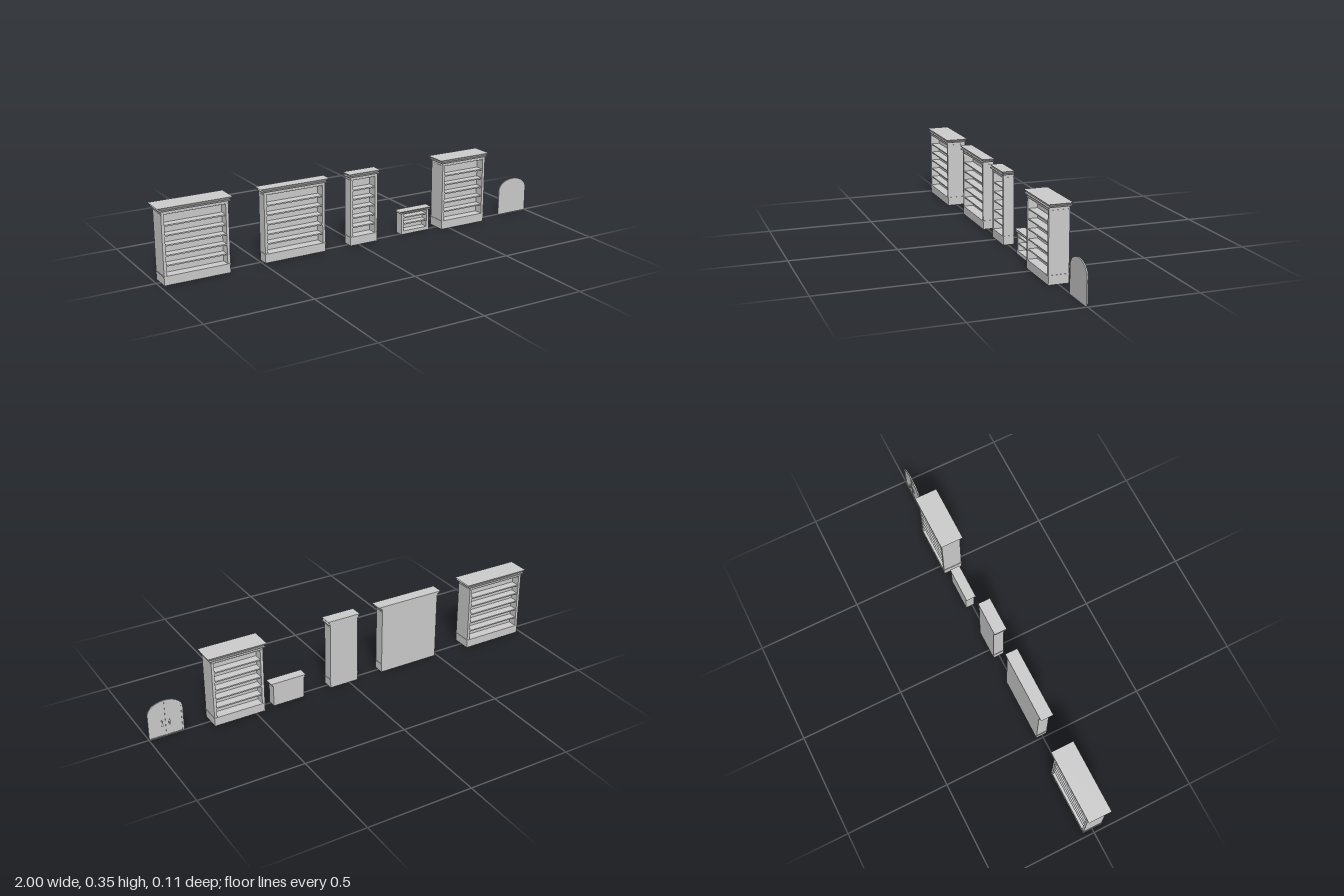
import * as THREE from 'three';

const material = new THREE.MeshStandardMaterial({ color: 0xcccccc });

function add(group, name, geometry) {
  const mesh = new THREE.Mesh(geometry, material);
  mesh.name = name;
  group.add(mesh);
  return mesh;
}

// Box given by its limits on each axis
function box(group, name, x0, x1, y0, y1, z0, z1) {
  const g = new THREE.BoxGeometry(x1 - x0, y1 - y0, z1 - z0);
  g.translate((x0 + x1) / 2, (y0 + y1) / 2, (z0 + z1) / 2);
  return add(group, name, g);
}

// Crown: a slab whose top edge flares out beyond its foot
function crown(group, x0, x1, y0, y1, z0, z1, outX, outFront, outBack) {
  const mesh = box(group, 'crown', x0, x1, y0, y1, z0, z1);
  const p = mesh.geometry.attributes.position;
  const midX = (x0 + x1) / 2, midZ = (z0 + z1) / 2, midY = (y0 + y1) / 2;
  for (let i = 0; i < p.count; i++) {
    if (p.getY(i) < midY) continue;
    p.setX(i, p.getX(i) + (p.getX(i) > midX ? outX : -outX));
    p.setZ(i, p.getZ(i) + (p.getZ(i) > midZ ? outFront : -outBack));
  }
  mesh.geometry.computeVertexNormals();
}

// Bookcase open at the front, or on both faces when doubleSided
function bookcase({ name, x0, x1, z0, z1, height, plinth, openTop, friezeTop, shelves, outX, outZ, doubleSided, trim }) {
  const g = new THREE.Group();
  g.name = name;
  const stile = 0.013, board = 0.006, recess = 0.004;
  const back = doubleSided ? 1 : 0;

  // Carcass
  box(g, 'plinth', x0, x1, 0, plinth, z0, z1);
  box(g, 'leftSide', x1 - stile, x1, plinth, openTop, z0, z1);
  box(g, 'rightSide', x0, x0 + stile, plinth, openTop, z0, z1);
  box(g, 'frieze', x0, x1, openTop, friezeTop, z0, z1);
  const panelZ = doubleSided ? (z0 + z1) / 2 - 0.002 : z0;
  box(g, 'backPanel', x0 + stile, x1 - stile, plinth, openTop, panelZ, panelZ + 0.004);

  // Shelves
  for (const y of shelves) {
    box(g, 'shelf', x0 + stile, x1 - stile, y - board / 2, y + board / 2, z0 + recess, z1 - recess);
  }

  // Mouldings
  const moulding = (label, y0, y1, o) =>
    box(g, label, x0 - o, x1 + o, y0, y1, z0 - o * back, z1 + o);
  if (trim) {
    moulding('baseMoulding', plinth - 0.003, plinth + 0.001, 0.002);
    moulding('friezeMoulding', openTop - 0.001, openTop + 0.001, 0.0015);
  }
  moulding('crownMoulding', friezeTop - 0.003, friezeTop + 0.001, Math.min(outX, outZ));
  crown(g, x0, x1, friezeTop + 0.001, height, z0, z1, outX, outZ, outZ * back);
  return g;
}

// Arched outline with an elliptical head
function arch(Kind, halfWidth, bottom, spring, rise) {
  const s = new Kind();
  s.moveTo(-halfWidth, bottom);
  s.lineTo(halfWidth, bottom);
  s.lineTo(halfWidth, spring);
  s.absellipse(0, spring, halfWidth, rise, 0, Math.PI, false, 0);
  s.lineTo(-halfWidth, bottom);
  return s;
}

function archedDoor() {
  const g = new THREE.Group();
  g.name = 'archedDoor';
  const extrude = (shape, depth) =>
    new THREE.ExtrudeGeometry(shape, { depth, bevelEnabled: false, curveSegments: 20 });

  // Solid leaf with a raised surround on its rear face
  add(g, 'doorPanel', extrude(arch(THREE.Shape, 0.083, 0, 0.122, 0.057), 0.004)).position.z = 0.001;
  const rim = arch(THREE.Shape, 0.083, 0, 0.122, 0.057);
  rim.holes.push(arch(THREE.Path, 0.075, 0.003, 0.122, 0.049));
  add(g, 'doorSurround', extrude(rim, 0.003)).position.z = -0.001;
  box(g, 'centreStile', -0.002, 0.002, 0.003, 0.171, -0.001, 0.002);

  // Pull handles either side of the meeting stile
  for (const side of [-1, 1]) {
    const x = side * 0.017;
    box(g, 'handlePlate', x - 0.004, x + 0.004, 0.05, 0.08, -0.001, 0.002);
    box(g, 'handleGrip', x - 0.0015, x + 0.0015, 0.053, 0.077, -0.006, -0.004);
    for (const y of [0.054, 0.073]) {
      box(g, 'handleMount', x - 0.0015, x + 0.0015, y, y + 0.003, -0.005, 0);
    }
  }
  g.position.x = 0.915;
  return g;
}

export function createModel() {
  const model = new THREE.Group();
  model.name = 'bookcaseSet';
  const tall = {
    height: 0.35, plinth: 0.042, openTop: 0.32, friezeTop: 0.336,
    shelves: [0.087, 0.132, 0.178, 0.222, 0.267], outZ: 0.009, trim: true,
  };
  const double = { ...tall, z0: -0.047, z1: 0.046, doubleSided: true };
  const single = { ...tall, z0: -0.029, z1: 0.023, doubleSided: false };

  model.add(
    bookcase({ ...double, name: 'wideDoubleBookcase', x0: -0.98, x1: -0.67, outX: 0.019 }),
    bookcase({ ...single, name: 'wideWallBookcase', x0: -0.488, x1: -0.18, outX: 0.02 }),
    bookcase({ ...single, name: 'narrowWallBookcase', x0: -0.045, x1: 0.101, outX: 0.011 }),
    bookcase({ ...double, name: 'mediumDoubleBookcase', x0: 0.455, x1: 0.705, outX: 0.017 }),
    bookcase({
      name: 'lowBookcase', x0: 0.245, x1: 0.402, z0: -0.032, z1: 0.011, height: 0.116,
      plinth: 0.017, openTop: 0.102, friezeTop: 0.108, shelves: [0.05, 0.082],
      outX: 0.011, outZ: 0.006, doubleSided: false, trim: false,
    }),
    archedDoor(),
  );
  return model;
}
